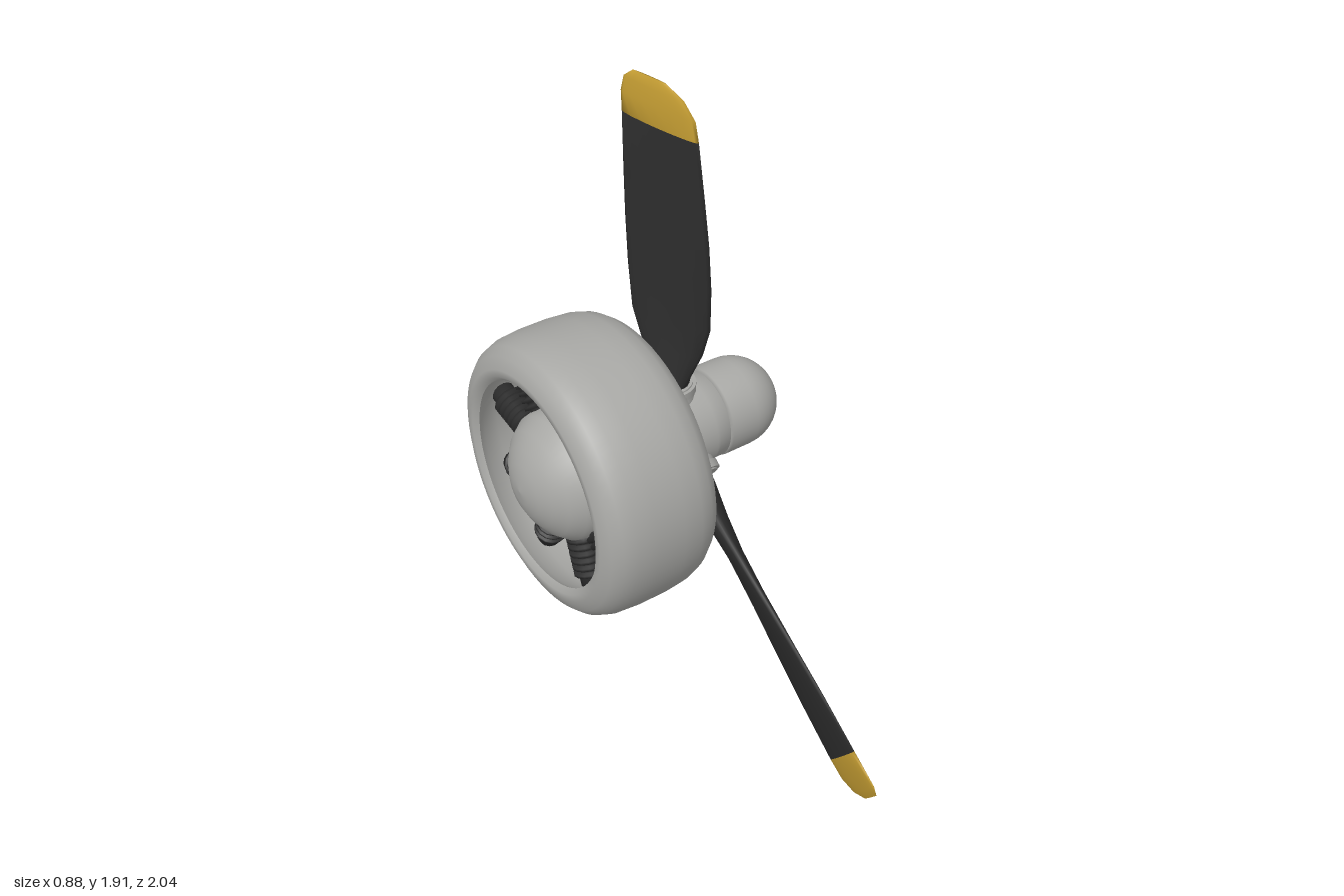
import * as THREE from 'three';

const AXIS_Y = 0.795;

const silver = new THREE.MeshStandardMaterial({ color: 0xa8a8a5 });
silver.name = 'silver metal';
const black = new THREE.MeshStandardMaterial({ color: 0x2e2e2e });
black.name = 'blade black';
const yellow = new THREE.MeshStandardMaterial({ color: 0xc8a034 });
yellow.name = 'tip yellow';

function mesh(name, geometry, material, parent) {
  const m = new THREE.Mesh(geometry, material);
  m.name = name;
  parent.add(m);
  return m;
}

// Turned part around the x axis; profile is [x, radius] from rear to front
function turned(name, profile, parent, segments = 48) {
  const pts = profile.map(([x, r]) => new THREE.Vector2(r, x));
  const m = mesh(name, new THREE.LatheGeometry(pts, segments), silver, parent);
  m.rotation.z = -Math.PI / 2;
  return m;
}

// Blade sections: radius, rear edge z, front edge z, half chord in x, half thickness
const SECTIONS = [
  [0.14, -0.045, 0.05, 0.0, 0.05],
  [0.20, -0.05, 0.06, 0.025, 0.044],
  [0.30, -0.075, 0.095, 0.045, 0.032],
  [0.40, -0.10, 0.125, 0.054, 0.024],
  [0.55, -0.11, 0.145, 0.05, 0.02],
  [0.70, -0.115, 0.155, 0.043, 0.017],
  [0.85, -0.115, 0.155, 0.036, 0.014],
  [1.02, -0.11, 0.15, 0.03, 0.012],
  [1.08, -0.11, 0.143, 0.028, 0.01],
  [1.125, -0.10, 0.105, 0.022, 0.008],
  [1.15, -0.07, 0.045, 0.012, 0.004],
];

// Skin a run of blade sections and close both ends
function loft(sections, stretch, rake) {
  const n = 16, pos = [], idx = [];
  for (const [r, z0, z1, dx, th] of sections) {
    const cz = (z0 + z1) / 2, hz = (z1 - z0) / 2, len = Math.hypot(hz, dx);
    const cx = 0.075 + rake * Math.max(0, r - 0.3);
    for (let j = 0; j < n; j++) {
      const c = Math.cos(j / n * Math.PI * 2), s = th * Math.sin(j / n * Math.PI * 2);
      pos.push(cx + dx * c + s * hz / len, r * stretch, cz + hz * c - s * dx / len);
    }
  }
  const last = (sections.length - 1) * n;
  for (let i = 0; i < last; i += n) {
    for (let j = 0; j < n; j++) {
      const a = i + j, b = i + (j + 1) % n;
      idx.push(a, b, a + n, b, b + n, a + n);
    }
  }
  for (let j = 1; j < n - 1; j++) {
    idx.push(last, last + j, last + j + 1, 0, j + 1, j);
  }
  const g = new THREE.BufferGeometry();
  g.setAttribute('position', new THREE.Float32BufferAttribute(pos, 3));
  g.setIndex(idx);
  g.computeVertexNormals();
  return g;
}

// Finned engine cylinder standing on +y
function cylinderGeometry() {
  const pts = [new THREE.Vector2(0.036, 0.17)];
  for (let i = 0; i < 6; i++) {
    const y = 0.2 + i * 0.022;
    pts.push(new THREE.Vector2(0.036, y), new THREE.Vector2(0.05, y + 0.003),
      new THREE.Vector2(0.05, y + 0.011), new THREE.Vector2(0.036, y + 0.014));
  }
  pts.push(new THREE.Vector2(0.036, 0.36), new THREE.Vector2(0, 0.37));
  return new THREE.LatheGeometry(pts, 14);
}

export function createModel() {
  const model = new THREE.Group();
  model.name = 'propellerEngine';
  const engine = new THREE.Group();
  engine.name = 'engine';
  engine.position.y = AXIS_Y;
  model.add(engine);

  // Hollow cowl ring, outer skin then inner skin
  turned('cowl', [
    [-0.385, 0.315], [-0.4, 0.33], [-0.4, 0.35], [-0.385, 0.385], [-0.36, 0.408],
    [-0.32, 0.422], [-0.26, 0.427], [-0.17, 0.427], [-0.11, 0.422], [-0.07, 0.41],
    [-0.04, 0.388], [-0.022, 0.355], [-0.02, 0.33], [-0.03, 0.31], [-0.055, 0.3],
    [-0.09, 0.305], [-0.14, 0.345], [-0.2, 0.37], [-0.3, 0.365], [-0.36, 0.335], [-0.385, 0.315],
  ], engine, 64);

  // Crankcase with domed rear and stepped nose
  turned('crankcase', [
    [-0.44, 0], [-0.436, 0.04], [-0.425, 0.08], [-0.405, 0.12], [-0.375, 0.16],
    [-0.335, 0.19], [-0.29, 0.2], [-0.1, 0.2], [-0.075, 0.19], [-0.05, 0.165], [-0.02, 0.14], [0, 0.13],
  ], engine);

  // Two rows of nine cylinders
  const cyl = cylinderGeometry();
  for (const x of [-0.15, -0.28]) {
    for (let i = 0; i < 9; i++) {
      const c = mesh('engineCylinder', cyl, black, engine);
      c.position.x = x;
      c.rotation.x = i / 9 * Math.PI * 2;
    }
  }

  // Oil sump pipe under the nose
  const sump = mesh('sumpPipe', new THREE.CylinderGeometry(0.025, 0.03, 0.17, 16), silver, engine);
  sump.position.set(-0.09, -0.245, 0);

  // Hub and spinner
  turned('hub', [
    [-0.02, 0], [-0.02, 0.13], [-0.01, 0.142], [0.15, 0.142], [0.165, 0.135],
    [0.2, 0.135], [0.205, 0.12], [0.21, 0.1],
  ], engine);
  const spinner = [[0.2, 0], [0.203, 0.13], [0.21, 0.138], [0.3, 0.138]];
  for (let i = 1; i <= 10; i++) {
    const t = i / 10 * Math.PI / 2;
    spinner.push([0.3 + 0.137 * Math.sin(t), i === 10 ? 0 : 0.138 * Math.cos(t)]);
  }
  turned('spinner', spinner, engine);

  // Three blades with root sleeves: angle, stretch, rake
  for (const [deg, stretch, rake] of [[0, 1, -0.075], [125, 1.04, 0], [-125, 1.04, 0]]) {
    const blade = new THREE.Group();
    blade.name = 'blade';
    blade.rotation.x = THREE.MathUtils.degToRad(deg);
    engine.add(blade);
    mesh('bladeBody', loft(SECTIONS.slice(0, 8), stretch, rake), black, blade);
    mesh('bladeTip', loft(SECTIONS.slice(7), stretch, rake), yellow, blade);
    const sleeve = mesh('bladeSleeve', new THREE.CylinderGeometry(0.068, 0.085, 0.13, 24), silver, blade);
    sleeve.position.set(0.073, 0.11, 0);
    const collar = mesh('bladeCollar', new THREE.CylinderGeometry(0.078, 0.078, 0.025, 24), silver, blade);
    collar.position.set(0.073, 0.158, 0);
  }
  return model;
}
